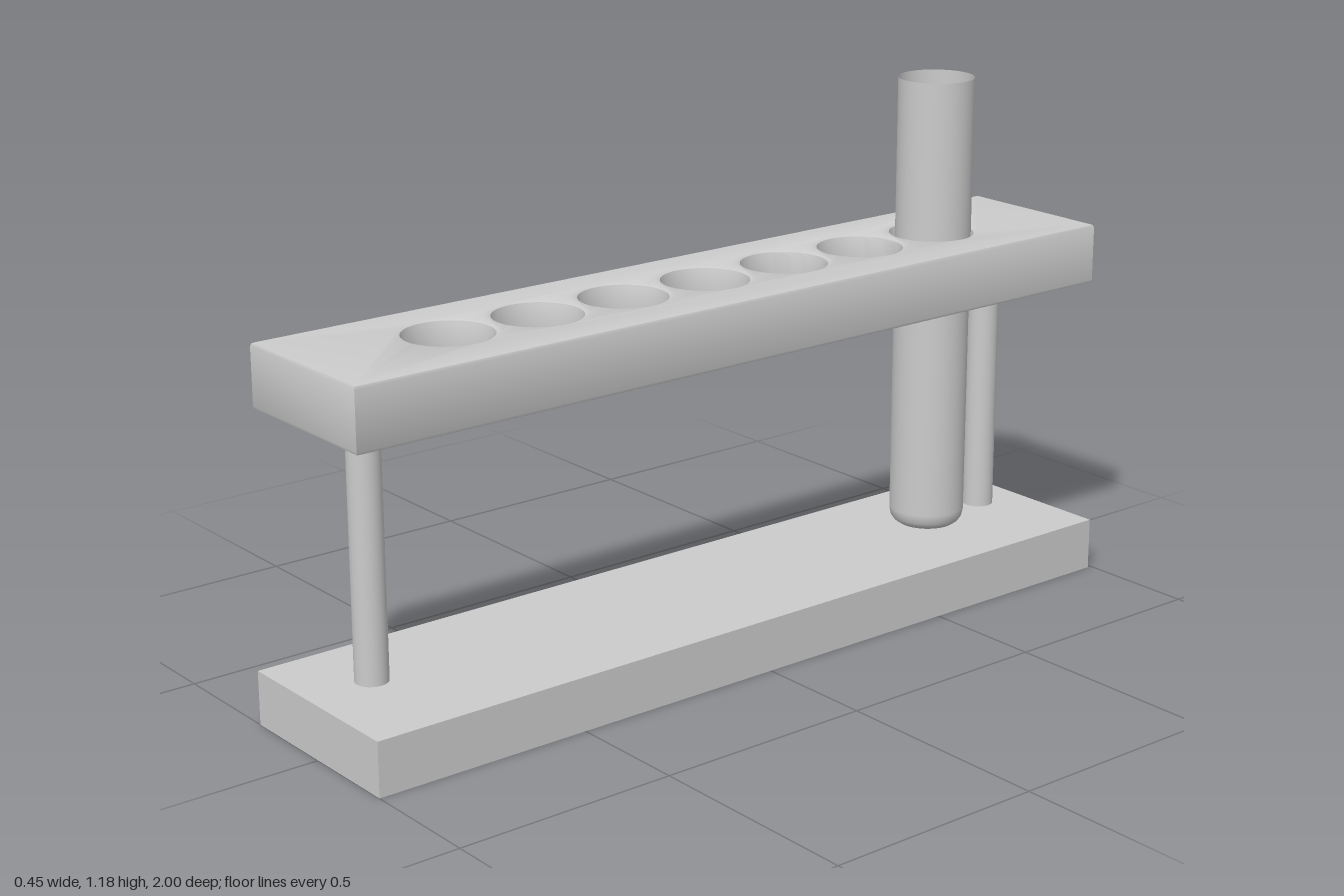
import * as THREE from 'three';
import { toCreasedNormals } from 'three/addons/utils/BufferGeometryUtils.js';

export function createModel() {
  const model = new THREE.Group();
  model.name = 'testTubeRack';
  const grey = new THREE.MeshStandardMaterial({ color: 0xcccccc });
  const thin = new THREE.MeshStandardMaterial({ color: 0xcccccc, side: THREE.DoubleSide });

  function add(name, geometry, material, x, y, z) {
    const mesh = new THREE.Mesh(geometry, material);
    mesh.name = name;
    mesh.position.set(x, y, z);
    model.add(mesh);
  }

  // Flat base board
  add('base', new THREE.BoxGeometry(0.45, 0.12, 1.99), grey, 0, 0.06, 0.005);

  // Top board with softened edges and a row of seven through holes
  const w = 0.19, l = 1, bevel = 0.008;
  const board = new THREE.Shape([
    new THREE.Vector2(-w, -l), new THREE.Vector2(w, -l),
    new THREE.Vector2(w, l), new THREE.Vector2(-w, l),
  ]);
  for (const z of [-0.665, -0.445, -0.222, 0, 0.22, 0.44, 0.66]) {
    const hole = new THREE.Path();
    hole.absarc(0, z, 0.094, 0, Math.PI * 2, true);
    board.holes.push(hole);
  }
  const boardGeometry = new THREE.ExtrudeGeometry(board, {
    depth: 0.14 - 2 * bevel, curveSegments: 24,
    bevelSize: bevel, bevelThickness: bevel, bevelOffset: -bevel, bevelSegments: 2,
  });
  boardGeometry.rotateX(Math.PI / 2);
  add('topBoard', toCreasedNormals(boardGeometry, 0.6), grey, 0, 0.83 - bevel, 0);

  // Two slim posts, set slightly off the centre line
  const post = new THREE.CylinderGeometry(0.036, 0.036, 0.6, 32);
  add('frontPost', post, grey, -0.036, 0.41, 0.845);
  add('backPost', post, grey, -0.036, 0.41, -0.875);

  // Open glass tube with a rounded bottom
  const profile = [[0, 0.127], [0.045, 0.128], [0.066, 0.132], [0.076, 0.139],
    [0.083, 0.149], [0.086, 0.163], [0.086, 0.17], [0.086, 1.185]];
  const tube = new THREE.LatheGeometry(profile.map(([r, y]) => new THREE.Vector2(r, y)), 48);
  add('testTube', tube, thin, 0.001, 0, -0.669);

  return model;
}
